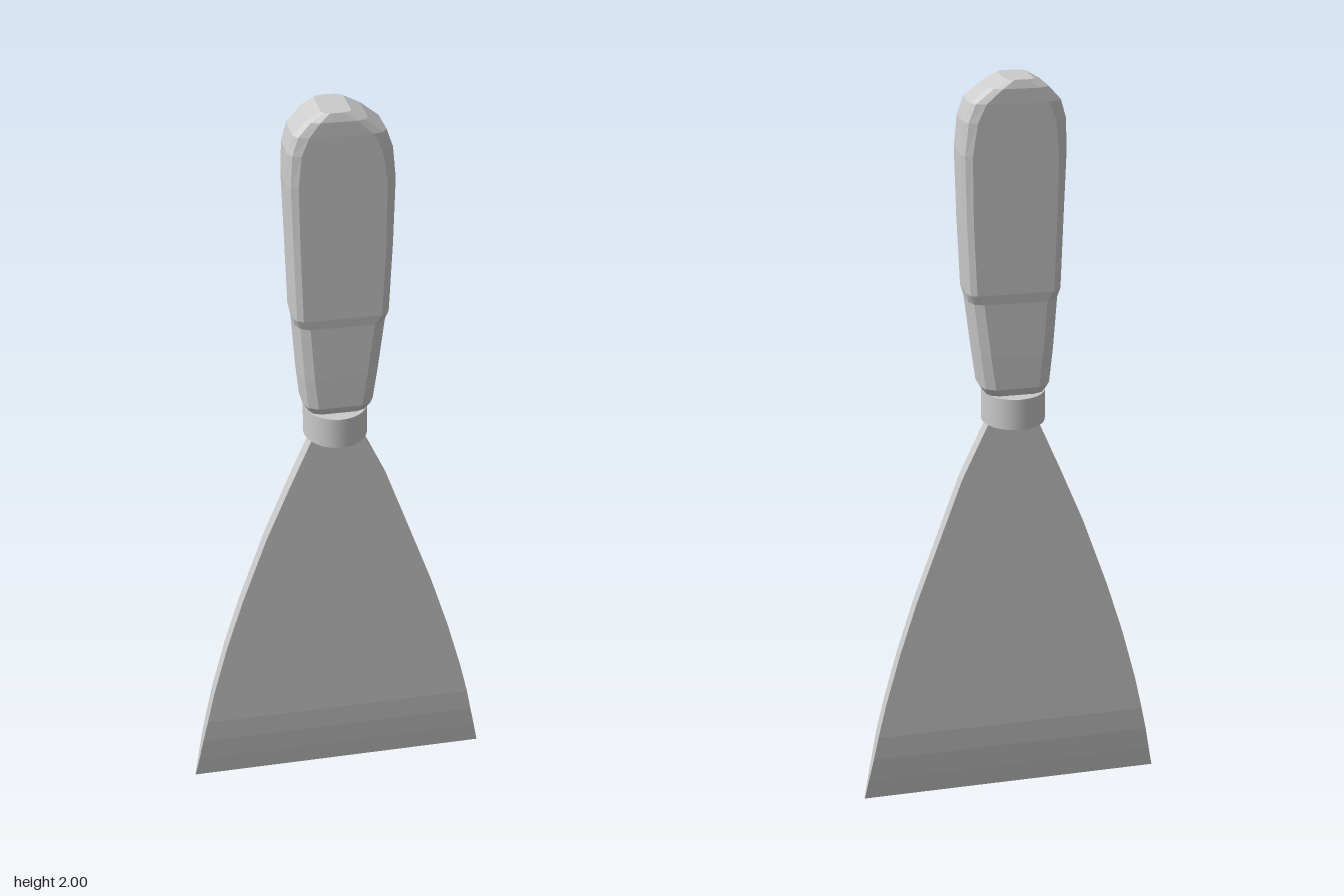
import * as THREE from 'three';

const material = new THREE.MeshStandardMaterial({ color: 0xcccccc, flatShading: true });

// Closed flat-shaded loft through rings of equal point count, listed bottom to top,
// each ring running counter-clockwise in x towards -z.
function loft(name, rings) {
  const n = rings[0].length;
  const positions = [];
  const tri = (a, b, c) => positions.push(...a, ...b, ...c);
  for (let i = 0; i < rings.length - 1; i++) {
    const lower = rings[i], upper = rings[i + 1];
    for (let j = 0; j < n; j++) {
      const k = (j + 1) % n;
      tri(lower[j], lower[k], upper[k]);
      tri(lower[j], upper[k], upper[j]);
    }
  }
  const bottom = rings[0], top = rings[rings.length - 1];
  for (let j = 1; j < n - 1; j++) {
    tri(bottom[0], bottom[j + 1], bottom[j]);
    tri(top[0], top[j], top[j + 1]);
  }
  const geometry = new THREE.BufferGeometry();
  geometry.setAttribute('position', new THREE.Float32BufferAttribute(positions, 3));
  geometry.computeVertexNormals();
  const mesh = new THREE.Mesh(geometry, material);
  mesh.name = name;
  return mesh;
}

// Rectangular blade section
const bladeRing = ([y, left, right, d]) => [
  [right, y, d], [right, y, -d], [left, y, -d], [left, y, d],
];

// Handle section: a rectangle with two-facet corners
function handleRing([y, left, right, d, cx, cz]) {
  const corner = [[0, cz], [cx * 0.3, cz * 0.35], [cx, 0]];
  const quarter = (sx, sz) => corner.map(([a, b]) =>
    [sx > 0 ? right - a : left + a, y, sz * (d - b)]);
  return [
    ...quarter(1, -1), ...quarter(-1, -1).reverse(),
    ...quarter(-1, 1), ...quarter(1, 1).reverse(),
  ];
}

export function createModel() {
  const model = new THREE.Group();
  model.name = 'scraper';

  // Flared blade, thinning to an edge: y, left, right, half thickness
  model.add(loft('blade', [
    [0, -0.417, 0.415, 0.003],
    [0.06, -0.405, 0.403, 0.01],
    [0.13, -0.392, 0.388, 0.017],
    [0.2, -0.377, 0.374, 0.021],
    [0.3, -0.355, 0.35, 0.021],
    [0.45, -0.315, 0.308, 0.021],
    [0.6, -0.268, 0.26, 0.021],
    [0.8, -0.197, 0.187, 0.021],
    [0.95, -0.135, 0.132, 0.021],
    [1.12, -0.062, 0.052, 0.021],
  ].map(bladeRing)));

  // Collar joining blade and handle
  const collarMaterial = new THREE.MeshStandardMaterial({ color: 0xcccccc });
  const collar = new THREE.Mesh(new THREE.CylinderGeometry(1, 1, 0.083, 32), collarMaterial);
  collar.name = 'collar';
  collar.scale.set(0.083, 1, 0.092);
  collar.position.set(-0.008, 1.148, -0.001);
  model.add(collar);

  // Handle with carved lower corners: y, left, right, half depth, corner x, corner z
  const handle = loft('handle', [
    [1.185, -0.08, 0.066, 0.055, 0.03, 0.025],
    [1.21, -0.097, 0.085, 0.066, 0.035, 0.036],
    [1.3, -0.106, 0.097, 0.068, 0.034, 0.036],
    [1.44, -0.116, 0.114, 0.068, 0.034, 0.036],
    [1.465, -0.121, 0.12, 0.07, 0.022, 0.025],
    [1.65, -0.127, 0.128, 0.07, 0.022, 0.025],
    [1.82, -0.133, 0.132, 0.07, 0.025, 0.025],
    [1.9, -0.13, 0.124, 0.07, 0.03, 0.025],
    [1.945, -0.117, 0.108, 0.07, 0.035, 0.025],
    [1.98, -0.085, 0.062, 0.069, 0.03, 0.022],
    [2, -0.05, 0.022, 0.062, 0.02, 0.015],
  ].map(handleRing));
  handle.position.z = -0.001;
  model.add(handle);

  return model;
}
